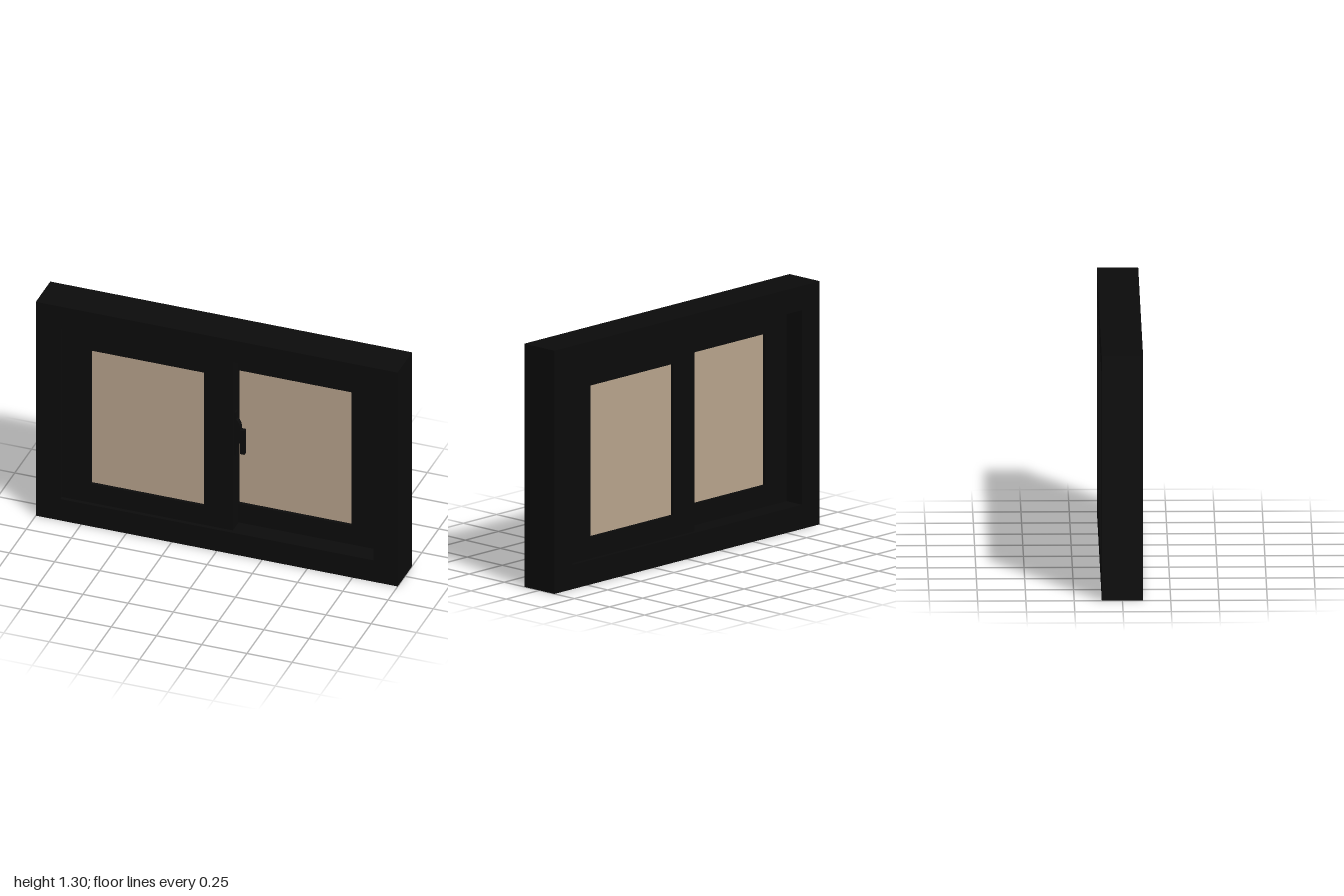
import * as THREE from 'three';

const black = new THREE.MeshStandardMaterial({ color: 0x0b0b0b });
const tan = new THREE.MeshStandardMaterial({ color: 0xb8a38c });

function rect(target, x0, y0, x1, y1) {
  target.moveTo(x0, y0);
  target.lineTo(x1, y0);
  target.lineTo(x1, y1);
  target.lineTo(x0, y1);
  target.closePath();
  return target;
}

// Rectangular ring with a rectangular opening, extruded from z0 to z1
function ring(name, outer, inner, z0, z1) {
  const shape = rect(new THREE.Shape(), ...outer);
  shape.holes.push(rect(new THREE.Path(), ...inner));
  const geo = new THREE.ExtrudeGeometry(shape, { depth: z1 - z0, bevelEnabled: false });
  geo.translate(0, 0, z0);
  const mesh = new THREE.Mesh(geo, black);
  mesh.name = name;
  return mesh;
}

function box(name, material, x0, y0, z0, x1, y1, z1) {
  const mesh = new THREE.Mesh(new THREE.BoxGeometry(x1 - x0, y1 - y0, z1 - z0), material);
  mesh.position.set((x0 + x1) / 2, (y0 + y1) / 2, (z0 + z1) / 2);
  mesh.name = name;
  return mesh;
}

// Sliding sash on the -x side, in the front track
function makeSash(name) {
  const sash = new THREE.Group();
  sash.name = name;
  sash.add(
    ring('sashFrame', [-0.865, 0.13, 0.08, 1.17], [-0.705, 0.245, -0.08, 1.055], 0, 0.085),
    box('glass', tan, -0.705, 0.245, 0.018, -0.08, 1.055, 0.068)
  );
  return sash;
}

// Latch on the edge of the front sash: plate, rounded hub and lever
function makeHandle() {
  const handle = new THREE.Group();
  handle.name = 'handle';
  const hub = new THREE.Shape();
  hub.moveTo(0.088, 0.62);
  hub.quadraticCurveTo(0.106, 0.635, 0.111, 0.665);
  hub.lineTo(0.111, 0.75);
  hub.quadraticCurveTo(0.106, 0.78, 0.088, 0.79);
  hub.closePath();
  const geo = new THREE.ExtrudeGeometry(hub, { depth: 0.028, bevelEnabled: false, curveSegments: 6 });
  geo.translate(0, 0, 0.032);
  const hubMesh = new THREE.Mesh(geo, black);
  hubMesh.name = 'handleHub';
  handle.add(
    box('handlePlate', black, 0.08, 0.575, 0.03, 0.089, 0.835, 0.062),
    hubMesh,
    box('handleLever', black, 0.11, 0.585, 0.034, 0.135, 0.73, 0.058)
  );
  return handle;
}

export function createModel() {
  const model = new THREE.Group();
  model.name = 'slidingWindow';

  model.add(ring('outerFrame', [-1, 0, 1, 1.3], [-0.865, 0.13, 0.865, 1.17], -0.107, 0.107));

  // The rear sash is the front one turned half around
  const rear = makeSash('rearSash');
  rear.rotation.y = Math.PI;
  model.add(makeSash('frontSash'), rear, makeHandle());
  return model;
}
